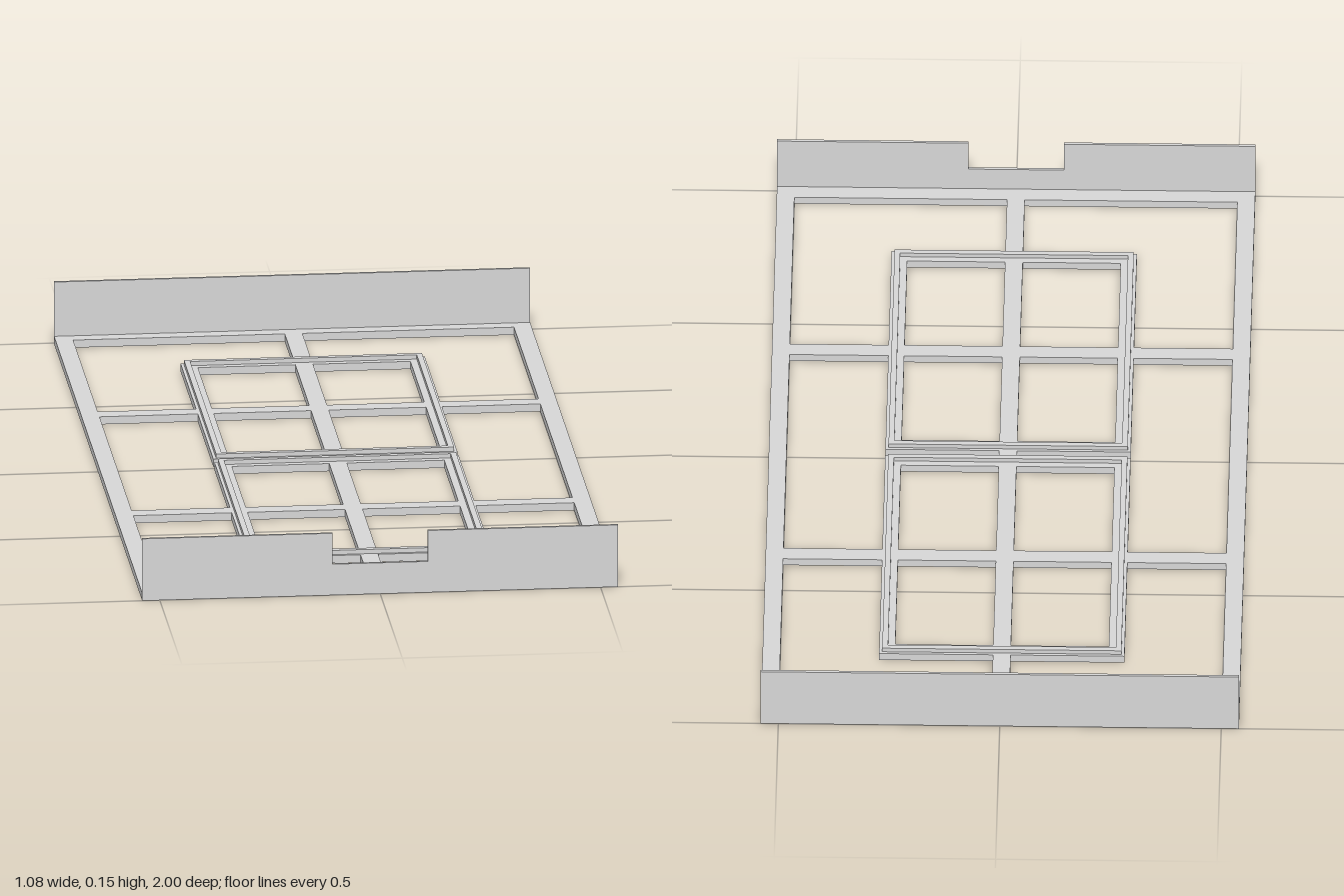
import * as THREE from 'three';

export function createModel() {
  const model = new THREE.Group();
  model.name = 'frameTray';
  const steel = new THREE.MeshStandardMaterial({ color: 0xd6d6d6 });
  steel.name = 'light grey steel';

  const BASE = 0.018, HALF = 0.02; // bar height and half bar width

  // Box given by its min and max corners
  function bar(parent, name, x0, x1, y0, y1, z0, z1) {
    const mesh = new THREE.Mesh(new THREE.BoxGeometry(x1 - x0, y1 - y0, z1 - z0), steel);
    mesh.position.set((x0 + x1) / 2, (y0 + y1) / 2, (z0 + z1) / 2);
    mesh.name = name;
    parent.add(mesh);
  }

  // Flat rectangular ring, extruded upward
  function ring(parent, name, hx, hz, width, y0, y1, zc) {
    const rect = (target, a, b) => {
      target.moveTo(-a, -b);
      target.lineTo(a, -b);
      target.lineTo(a, b);
      target.lineTo(-a, b);
      target.closePath();
      return target;
    };
    const shape = rect(new THREE.Shape(), hx, hz);
    shape.holes.push(rect(new THREE.Path(), hx - width, hz - width));
    const geo = new THREE.ExtrudeGeometry(shape, { depth: y1 - y0, bevelEnabled: false });
    geo.rotateX(-Math.PI / 2);
    const mesh = new THREE.Mesh(geo, steel);
    mesh.position.set(0, y0, zc);
    mesh.name = name;
    parent.add(mesh);
  }

  // Outer frame
  ring(model, 'outerFrame', 0.54, 0.9965, 0.04, 0, BASE, -0.0035);

  // Two inner frames, each a flat flange with a raised lip
  for (const s of [-1, 1]) {
    const tray = new THREE.Group();
    tray.name = s > 0 ? 'frontInnerFrame' : 'backInnerFrame';
    const zc = s * 0.3835 - 0.001;
    ring(tray, 'flange', 0.277, 0.372, 0.036, 0, BASE, zc);
    ring(tray, 'lip', 0.27, 0.365, 0.013, BASE, 0.028, zc);
    // Cross bars, split around the inner frame
    for (const [x0, x1] of [[-0.5, -0.277], [-0.241, -HALF], [HALF, 0.241], [0.277, 0.5]]) {
      bar(tray, 'crossBar', x0, x1, 0, BASE, zc - HALF, zc + HALF);
    }
    // Spine inside the inner frame
    bar(tray, 'spineInner', -HALF, HALF, 0, BASE, zc - 0.336, zc + 0.336);
    model.add(tray);
  }

  // Spine between and beyond the inner frames
  for (const [z0, z1] of [[-0.96, -0.7565], [-0.0125, 0.0105], [0.7545, 0.953]]) {
    bar(model, 'spine', -HALF, HALF, 0, BASE, z0, z1);
  }

  // Back plate stands on the frame
  bar(model, 'backPlate', -0.54, 0.54, BASE, 0.146, -1, -0.993);

  // Front plate with a notch in its upper edge
  const plate = new THREE.Shape([
    [-0.54, 0], [0.54, 0], [0.54, 0.146], [0.108, 0.146],
    [0.108, 0.073], [-0.108, 0.073], [-0.108, 0.146], [-0.54, 0.146],
  ].map(([x, y]) => new THREE.Vector2(x, y)));
  const front = new THREE.Mesh(
    new THREE.ExtrudeGeometry(plate, { depth: 0.007, bevelEnabled: false }), steel);
  front.position.z = 0.993;
  front.name = 'frontPlate';
  model.add(front);

  return model;
}
